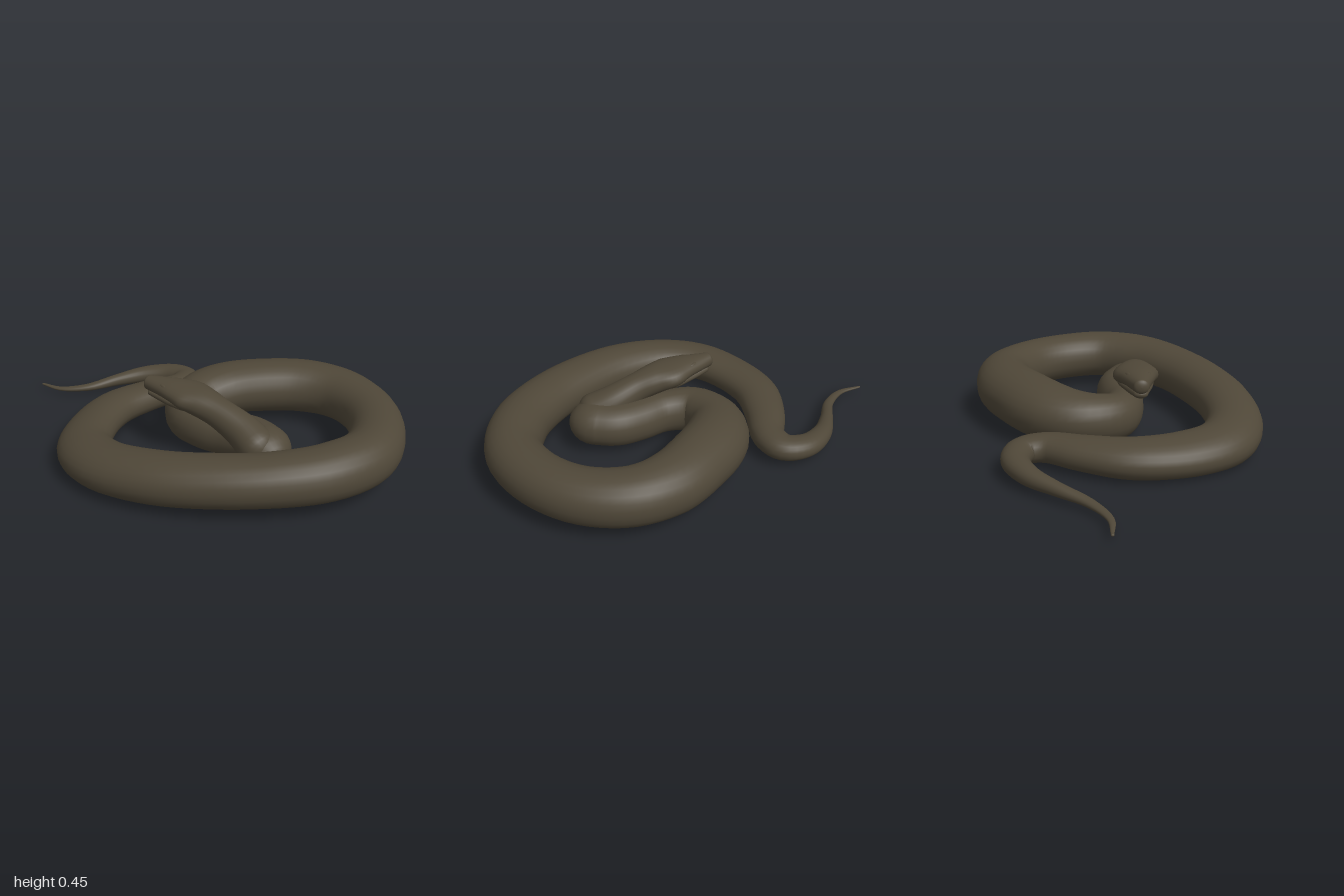
import * as THREE from 'three';

const V = (x, y, z) => new THREE.Vector3(x, y, z);
const UP = V(0, 1, 0);
const softPow = (v, p) => Math.sign(v) * Math.abs(v) ** p;

// Sweeps a rounded section along stations [x, y, z, halfWidth, halfHeight, roll], with a dome at each end.
function sweep(stations, { capStart = 0.005, capEnd = 0.01, sides = 24, steps = 5, power = 0.95 } = {}) {
  const path = new THREE.CatmullRomCurve3(stations.map(([x, y, z]) => V(x, y, z)));
  const size = new THREE.CatmullRomCurve3(stations.map(([, , , w, h, roll = 0]) => V(w, h, roll)));
  const rings = [], domeSteps = 6, n = (stations.length - 1) * steps;
  const addRing = (t, offset, scale) => {
    const tangent = path.getTangent(t);
    const s = size.getPoint(t);
    const side = new THREE.Vector3().crossVectors(UP, tangent).normalize().applyAxisAngle(tangent, s.z);
    const up = new THREE.Vector3().crossVectors(tangent, side);
    const centre = path.getPoint(t).addScaledVector(tangent, offset);
    rings.push({ centre, side, up, w: s.x * scale, h: s.y * scale });
  };
  const dome = (k) => (k / domeSteps) * Math.PI / 2;
  for (let k = domeSteps; k > 0; k--) addRing(0, -capStart * Math.sin(dome(k)), Math.cos(dome(k)) + 1e-4);
  for (let i = 0; i <= n; i++) addRing(i / n, 0, 1);
  for (let k = 1; k <= domeSteps; k++) addRing(1, capEnd * Math.sin(dome(k)), Math.cos(dome(k)) + 1e-4);

  const positions = [], index = [];
  rings.forEach((r, i) => {
    for (let j = 0; j < sides; j++) {
      const a = (j / sides) * Math.PI * 2;
      const p = r.centre.clone()
        .addScaledVector(r.side, softPow(Math.cos(a), power) * r.w)
        .addScaledVector(r.up, softPow(Math.sin(a), power) * r.h);
      positions.push(p.x, p.y, p.z);
      if (i === rings.length - 1) continue;
      const a0 = i * sides + j, a1 = i * sides + (j + 1) % sides;
      index.push(a0, a1, a0 + sides, a1, a1 + sides, a0 + sides);
    }
  });
  const g = new THREE.BufferGeometry();
  g.setAttribute('position', new THREE.Float32BufferAttribute(positions, 3));
  g.setIndex(index);
  g.computeVertexNormals();
  return g;
}

export function createModel() {
  const group = new THREE.Group();
  const skin = new THREE.MeshStandardMaterial({ color: 0x4f4738 });
  skin.name = 'olive brown skin';
  const add = (name, geometry) => {
    const mesh = new THREE.Mesh(geometry, skin);
    mesh.name = name;
    group.add(mesh);
    return mesh;
  };

  // Tail: thin tip widening through the S-bend into the left side of the coil
  const tail = [
    [-0.995, 0.032, -0.995, 0.008, 0.006], [-0.885, 0.035, -0.885, 0.02, 0.012],
    [-0.71, 0.045, -0.84, 0.03, 0.022], [-0.5, 0.065, -0.863, 0.04, 0.038],
    [-0.31, 0.08, -0.868, 0.06, 0.053], [-0.14, 0.092, -0.805, 0.08, 0.063],
    [-0.072, 0.098, -0.69, 0.092, 0.071], [-0.14, 0.103, -0.58, 0.1, 0.08, 0.05],
    [-0.36, 0.106, -0.5, 0.125, 0.09, 0.1], [-0.6, 0.106, -0.375, 0.146, 0.1, 0.15],
    [-0.78, 0.108, -0.13, 0.158, 0.105, 0.2]];

  // Coil: round the front, right and back, then inward beneath the head
  const coil = [
    [-0.84, 0.116, 0.1, 0.162, 0.112, 0.2], [-0.755, 0.133, 0.335, 0.165, 0.122, 0.15],
    [-0.52, 0.159, 0.56, 0.167, 0.135, 0.05], [-0.21, 0.182, 0.72, 0.168, 0.14, -0.04],
    [0.08, 0.197, 0.805, 0.168, 0.143, -0.1], [0.36, 0.204, 0.818, 0.17, 0.15, -0.1],
    [0.625, 0.205, 0.72, 0.165, 0.15, -0.05], [0.79, 0.2, 0.48, 0.161, 0.149],
    [0.838, 0.198, 0.21, 0.162, 0.15, 0.05], [0.762, 0.2, -0.045, 0.168, 0.156, 0.1],
    [0.585, 0.2, -0.205, 0.182, 0.163, 0.2], [0.35, 0.198, -0.283, 0.19, 0.163, 0.2],
    [0.1, 0.189, -0.317, 0.192, 0.158, 0.15], [-0.09, 0.174, -0.253, 0.165, 0.148, 0.1],
    [-0.2, 0.16, -0.08, 0.13, 0.135], [-0.13, 0.155, 0.085, 0.12, 0.13],
    [0, 0.155, 0.2, 0.128, 0.13], [0.1, 0.16, 0.31, 0.138, 0.13],
    [0.13, 0.167, 0.43, 0.152, 0.13]];
  add('body', sweep([...tail, ...coil], { capEnd: 0.16 }));

  // Neck and upper head: folds back over the body, flares at the cheeks, narrows to the snout
  add('neckAndHead', sweep([
    [0.075, 0.205, 0.455, 0.112, 0.112], [0.02, 0.258, 0.36, 0.1, 0.1],
    [-0.078, 0.322, 0.247, 0.09, 0.086], [-0.155, 0.36, 0.158, 0.11, 0.08],
    [-0.218, 0.38, 0.088, 0.134, 0.067], [-0.285, 0.393, 0.026, 0.107, 0.056],
    [-0.35, 0.396, -0.037, 0.076, 0.049], [-0.42, 0.398, -0.103, 0.045, 0.042]],
    { capStart: 0.1, capEnd: 0.022 }));

  // Lower jaw, a little shorter than the snout, leaving a mouth groove
  add('lowerJaw', sweep([
    [-0.15, 0.345, 0.165, 0.08, 0.045], [-0.22, 0.343, 0.085, 0.108, 0.04],
    [-0.29, 0.341, 0.022, 0.088, 0.035], [-0.35, 0.342, -0.037, 0.062, 0.03],
    [-0.4, 0.346, -0.084, 0.042, 0.024]], { capStart: 0.04, capEnd: 0.028 }));

  // Brow ridges on both sides of the head
  const across = V(0.68, 0, -0.73);
  for (const s of [-1, 1]) {
    const brow = add(s < 0 ? 'leftBrow' : 'rightBrow', new THREE.SphereGeometry(1, 16, 10));
    brow.scale.set(0.014, 0.014, 0.045);
    brow.position.set(-0.325, 0.423, -0.012).addScaledVector(across, s * 0.055);
    brow.rotation.y = Math.atan2(-0.73, -0.68) + s * 0.4;
  }
  return group;
}
